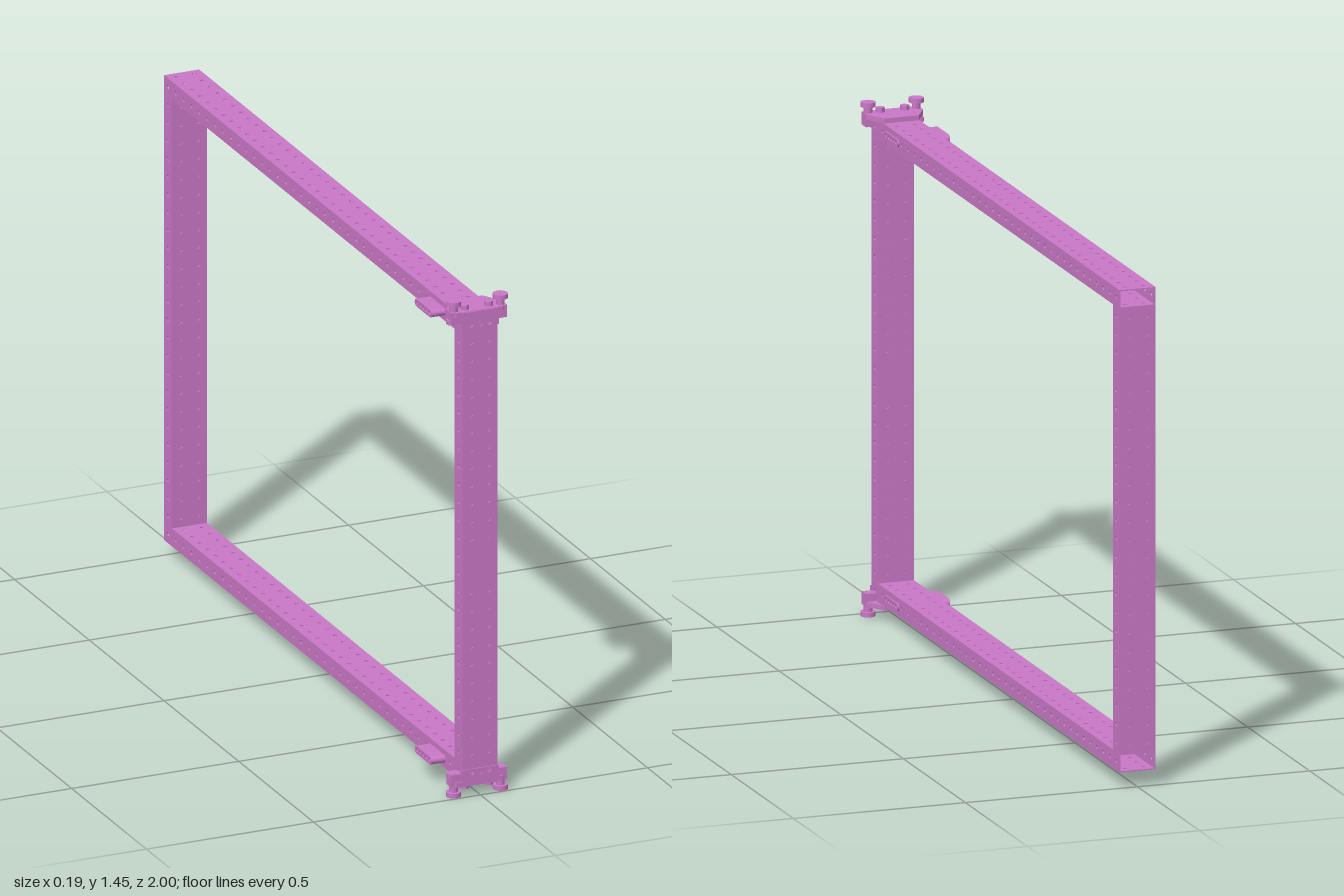
import * as THREE from 'three';

const PITCH = 0.0524;        // hole spacing, also the tube depth
const WIDE = 0.105;          // tube width
const WALL = 0.0035;
const MID = 0.7315;          // height of the frame's centre
const BOTTOM = 0.05, TOP = 1.413;

export function createModel() {
  const model = new THREE.Group();
  model.name = 'frame';
  const mat = new THREE.MeshStandardMaterial({ color: 0xc977c6, flatShading: true });

  function add(parent, name, geo, x = 0, y = 0, z = 0) {
    const mesh = new THREE.Mesh(geo, mat);
    mesh.name = name;
    mesh.position.set(x, y, z);
    parent.add(mesh);
    return mesh;
  }

  function punch(shape, x, y, r) {
    const hole = new THREE.Path();
    hole.absarc(x, y, r, 0, Math.PI * 2, true);
    shape.holes.push(hole);
  }

  function rectangle(w, h) {
    return new THREE.Shape([
      new THREE.Vector2(-w / 2, -h / 2), new THREE.Vector2(w / 2, -h / 2),
      new THREE.Vector2(w / 2, h / 2), new THREE.Vector2(-w / 2, h / 2),
    ]);
  }

  // Flat extrusion centred on its thickness
  function slab(shape, depth, curveSegments = 5) {
    const geo = new THREE.ExtrudeGeometry(shape, { depth, bevelEnabled: false, curveSegments });
    return geo.translate(0, 0, -depth / 2);
  }

  // One perforated wall of a tube, lying along local y
  function wall(width, length, columns, skip = []) {
    const shape = rectangle(width, length);
    const count = Math.floor(length / PITCH + 0.01);
    for (let k = 0; k < count; k++) {
      if (skip.includes(k)) continue;
      for (const x of columns) punch(shape, x, -length / 2 + PITCH * (k + 0.5), 0.006);
    }
    return slab(shape, WALL);
  }

  // Open-ended rectangular tube with two hole rows on the wide walls, one on the narrow
  function tube(name, length, skip) {
    const g = new THREE.Group();
    g.name = name;
    const off = (PITCH - WALL) / 2;
    const rows = [-PITCH / 2, PITCH / 2];
    add(g, 'outerWall', wall(WIDE, length, rows, skip), 0, 0, off);
    add(g, 'innerWall', wall(WIDE, length, rows, skip), 0, 0, -off);
    for (const s of [-1, 1]) {
      const side = add(g, 'sideWall', wall(PITCH - 2 * WALL, length, [0]), s * (WIDE - WALL) / 2);
      side.rotation.y = Math.PI / 2;
    }
    model.add(g);
    return g;
  }

  // Uprights
  tube('frontPost', TOP - BOTTOM, [11, 12]).position.set(0, MID, 0.997 - PITCH / 2);
  tube('backPost', TOP - BOTTOM - 2 * PITCH).position.set(0, MID, -1 + PITCH / 2);

  // Long beams
  const beamLength = 1.997 - PITCH;
  for (const s of [-1, 1]) {
    const beam = tube(s > 0 ? 'topBeam' : 'bottomBeam', beamLength);
    beam.rotation.x = Math.PI / 2;
    beam.position.set(0, MID + s * (TOP - BOTTOM - PITCH) / 2, -1 + beamLength / 2);
  }

  // Corner fittings, mirrored top and bottom
  for (const s of [-1, 1]) {
    const g = new THREE.Group();
    g.name = s > 0 ? 'topBracket' : 'bottomBracket';
    model.add(g);
    const Y = (y) => MID + s * (y - MID);

    // Flared cap plate over the tube end
    const cap = new THREE.Shape();
    const half = [[0.05, 0.9], [0.083, 0.957], [0.083, 0.98], [0.07, 0.996]];
    half.forEach(([x, z], i) => (i ? cap.lineTo(x, z) : cap.moveTo(x, z)));
    [...half].reverse().forEach(([x, z]) => cap.lineTo(-x, z));
    const capMesh = add(g, 'capPlate', slab(cap, 0.014), 0, Y(1.42), 0);
    capMesh.rotation.x = Math.PI / 2;

    // Front plate with three bolt holes
    const front = rectangle(0.11, 0.048);
    for (const x of [-PITCH / 2, 0, PITCH / 2]) punch(front, x, s * -0.014, 0.008);
    add(g, 'frontPlate', slab(front, 0.004), 0, Y(1.402), 0.998);

    for (const side of [-1, 1]) {
      // Ears beside the post, each carrying a flanged knob
      add(g, 'ear', new THREE.BoxGeometry(0.03, 0.036, 0.035), side * 0.068, Y(1.409), 0.974);
      add(g, 'knobStem', new THREE.CylinderGeometry(0.012, 0.012, 0.022, 16), side * 0.07, Y(1.436), 0.976);
      add(g, 'knobHead', new THREE.CylinderGeometry(0.021, 0.021, 0.013, 20), side * 0.07, Y(1.451), 0.976);
      add(g, 'capBolt', new THREE.CylinderGeometry(0.013, 0.013, 0.014, 6), side * 0.036, Y(1.433), 0.973);
    }
    add(g, 'earNut', new THREE.CylinderGeometry(0.015, 0.015, 0.012, 6), -0.076, Y(1.396), 0.974);

    // Rounded bar through the beam, with a row of holes along it
    const bar = new THREE.Shape();
    bar.absarc(0.045, 0, 0.011, -Math.PI / 2, Math.PI / 2, false);
    bar.absarc(-0.045, 0, 0.011, Math.PI / 2, Math.PI * 1.5, false);
    for (let i = -2; i <= 2; i++) punch(bar, i * 0.02, 0, 0.006);
    const barMesh = add(g, 'crossBar', slab(bar, 0.152, 6), -0.019, Y(1.387), 0.828);
    barMesh.rotation.y = Math.PI / 2;
  }

  return model;
}
